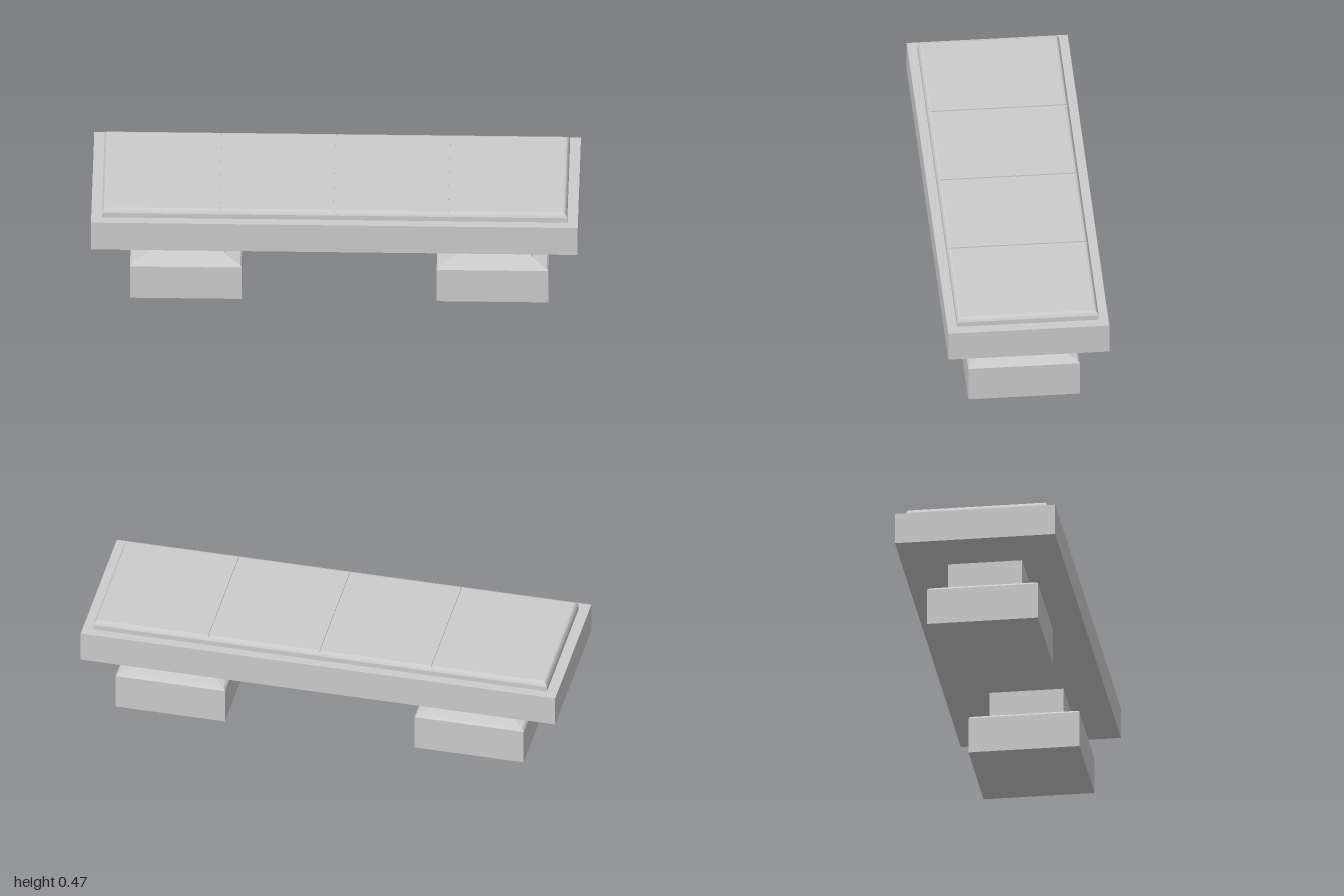
import * as THREE from 'three';

const material = new THREE.MeshStandardMaterial({ color: 0xcccccc, flatShading: true });

// Closed solid through stacked rectangles, each given as [x0, x1, halfDepth, y]
function stack(name, layers) {
  const rings = layers.map(([x0, x1, d, y]) => [[x0, y, d], [x1, y, d], [x1, y, -d], [x0, y, -d]]);
  const positions = [];
  const quad = (a, b, c, d) => positions.push(...a, ...b, ...c, ...a, ...c, ...d);
  for (let i = 0; i < rings.length - 1; i++) {
    for (let k = 0; k < 4; k++) {
      const n = (k + 1) % 4;
      quad(rings[i][k], rings[i][n], rings[i + 1][n], rings[i + 1][k]);
    }
  }
  quad(...rings[rings.length - 1]);
  quad(...[...rings[0]].reverse());
  const geometry = new THREE.BufferGeometry();
  geometry.setAttribute('position', new THREE.Float32BufferAttribute(positions, 3));
  geometry.computeVertexNormals();
  const mesh = new THREE.Mesh(geometry, material);
  mesh.name = name;
  return mesh;
}

export function createModel() {
  const group = new THREE.Group();
  group.name = 'bench';

  // Thick slab
  group.add(stack('slab', [[-1, 1, 0.332, 0.3], [-1, 1, 0.332, 0.433]]));

  // Raised seat with softened edges, up to the floor of its grooves
  const seatProfile = [[0.956, 0.292, 0.433], [0.956, 0.292, 0.454], [0.953, 0.289, 0.461], [0.949, 0.285, 0.467]];
  group.add(stack('seat', seatProfile.map(([x, d, y]) => [-x, x, d, y])));

  // Four top panels separated by narrow grooves
  const grooves = [-0.47, 0, 0.47];
  const gap = 0.005;
  for (let i = 0; i < 4; i++) {
    const x0 = i === 0 ? null : grooves[i - 1] + gap;
    const x1 = i === 3 ? null : grooves[i] - gap;
    group.add(stack('seatPanel', [[0.949, 0.285, 0.467], [0.946, 0.282, 0.47], [0.94, 0.276, 0.472]]
      .map(([x, d, y]) => [x0 ?? -x, x1 ?? x, d, y])));
  }

  // Two square pedestals: plinth, sloped shoulder and column
  const legProfile = [[0.23, 0], [0.23, 0.155], [0.222, 0.164], [0.162, 0.177], [0.154, 0.187], [0.154, 0.3]];
  for (const x of [-0.612, 0.648]) {
    const leg = stack('pedestal', legProfile.map(([r, y]) => [-r, r, r, y]));
    leg.position.set(x, 0, 0.009);
    group.add(leg);
  }
  return group;
}
